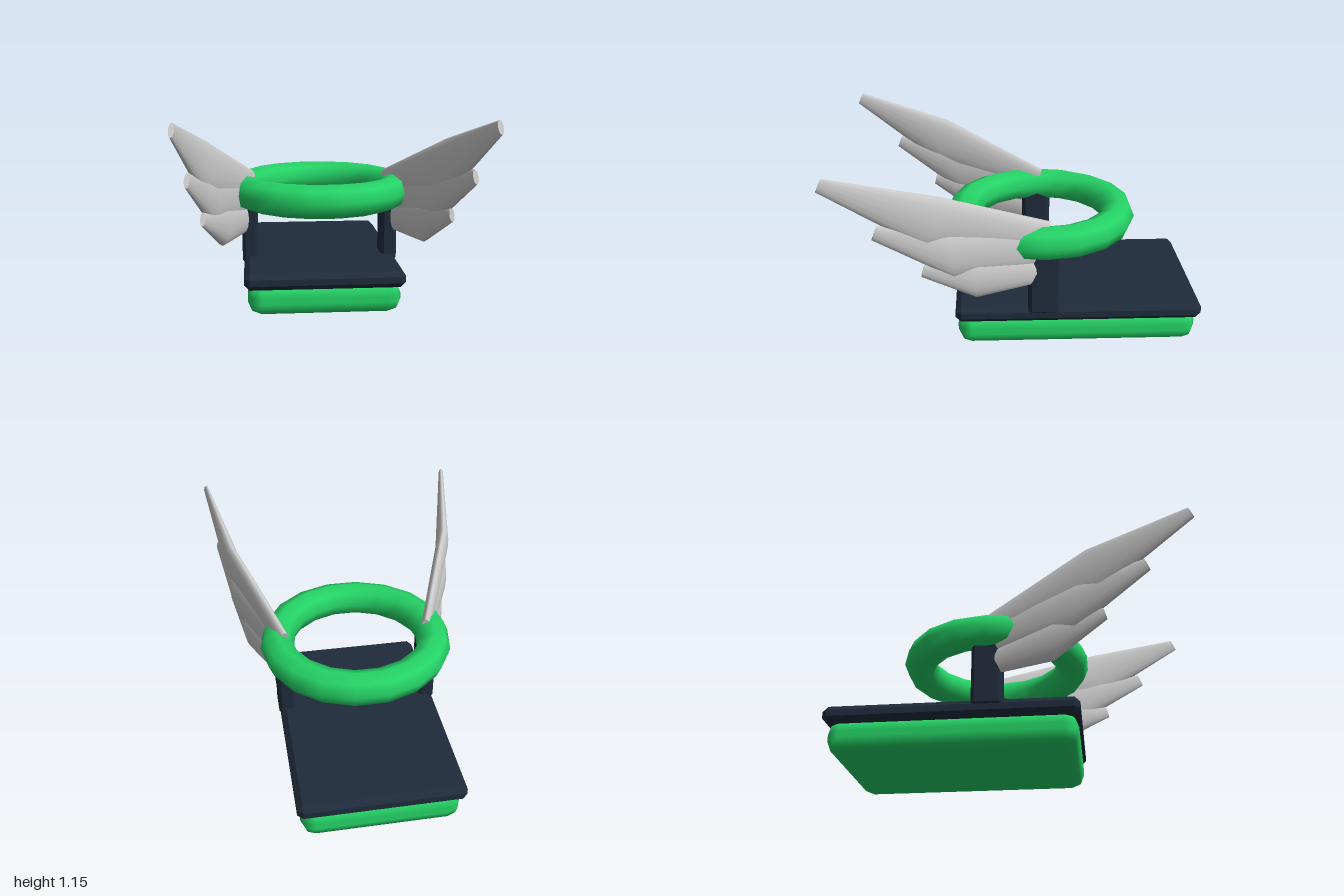
import * as THREE from 'three';
import { RoundedBoxGeometry } from 'three/addons/geometries/RoundedBoxGeometry.js';
import { ConvexGeometry } from 'three/addons/geometries/ConvexGeometry.js';

const material = (name, color) => Object.assign(new THREE.MeshStandardMaterial({ color }), { name });

// Box with a single flat chamfer on every edge
function chamferBox(w, h, d, c) {
  const points = [];
  for (const x of [-1, 1]) for (const y of [-1, 1]) for (const z of [-1, 1]) {
    const [a, b, e] = [w / 2, h / 2, d / 2];
    points.push(
      new THREE.Vector3(x * a, y * (b - c), z * (e - c)),
      new THREE.Vector3(x * (a - c), y * b, z * (e - c)),
      new THREE.Vector3(x * (a - c), y * (b - c), z * e));
  }
  return new ConvexGeometry(points);
}

// Outward sweep of the wing: x as a function of z
const sweep = [[-0.16, 0.395], [-0.04, 0.445], [0.25, 0.565], [0.43, 0.64], [0.52, 0.655], [0.745, 0.715], [1, 0.762]];
function sweepX(z) {
  let i = 0;
  while (i < sweep.length - 2 && z > sweep[i + 1][0]) i++;
  const [[z0, x0], [z1, x1]] = [sweep[i], sweep[i + 1]];
  return x0 + (x1 - x0) * (z - z0) / (z1 - z0);
}

// Feather lofted through flat ellipses; station = [topZ, topY, bottomZ, bottomY, halfThickness]
function featherGeometry(stations, side) {
  const n = 16, positions = [], index = [];
  const tri = (a, b, c) => (side > 0 ? index.push(a, b, c) : index.push(a, c, b));
  const addRing = ([tz, ty, bz, by, t]) => {
    const start = positions.length / 3;
    for (let i = 0; i < n; i++) {
      const a = (i / n) * Math.PI * 2, k = Math.cos(a) / 2;
      const z = (tz + bz) / 2 + k * (tz - bz);
      const y = (ty + by) / 2 + k * (ty - by);
      positions.push(side * (sweepX(z) + Math.sin(a) * t), y, z);
    }
    return start;
  };
  const rings = stations.map(addRing);
  for (let s = 0; s < rings.length - 1; s++) for (let i = 0; i < n; i++) {
    const j = (i + 1) % n, [p, q] = [rings[s], rings[s + 1]];
    tri(p + i, q + i, p + j);
    tri(q + i, q + j, p + j);
  }
  // End caps with their own vertices, so the rims stay sharp
  const root = addRing(stations[0]), tip = addRing(stations[stations.length - 1]);
  for (let i = 1; i < n - 1; i++) {
    tri(root, root + i, root + i + 1);
    tri(tip, tip + i + 1, tip + i);
  }
  const g = new THREE.BufferGeometry();
  g.setAttribute('position', new THREE.Float32BufferAttribute(positions, 3));
  g.setIndex(index);
  g.computeVertexNormals();
  return g;
}

const feathers = {
  upperFeather: [[-0.15, 0.75, -0.11, 0.6, 0.03], [0.43, 1.0, 0.5, 0.72, 0.04], [0.97, 1.147, 1.0, 1.08, 0.014]],
  middleFeather: [[-0.13, 0.71, -0.11, 0.5, 0.03], [0.38, 0.81, 0.36, 0.53, 0.045], [0.73, 0.878, 0.76, 0.805, 0.014]],
  lowerFeather: [[-0.11, 0.54, -0.04, 0.395, 0.028], [0.25, 0.63, 0.25, 0.39, 0.045], [0.51, 0.635, 0.53, 0.565, 0.014]],
};

export function createModel() {
  const green = material('green', 0x25d366);
  const navy = material('navy', 0x1f2b3b);
  const silver = material('silver', 0xcccccc);
  const model = new THREE.Group();
  const add = (parent, name, geometry, mat, x = 0, y = 0, z = 0) => {
    const mesh = new THREE.Mesh(geometry, mat);
    mesh.name = name;
    mesh.position.set(x, y, z);
    parent.add(mesh);
    return mesh;
  };

  // Soft green base under a chamfered dark plate
  add(model, 'base', new RoundedBoxGeometry(0.86, 0.18, 1.342, 1, 0.075), green, 0, 0.09, -0.31);
  add(model, 'plate', chamferBox(0.9, 0.095, 1.373, 0.03), navy, 0, 0.203, -0.3135);

  // Ring lying flat above the plate
  const ring = add(model, 'ring', new THREE.TorusGeometry(0.444, 0.095, 8, 18), green, 0, 0.642, -0.12);
  ring.rotation.x = -Math.PI / 2;

  // Posts and wings on both sides
  for (const [label, side] of [['left', 1], ['right', -1]]) {
    add(model, label + 'Post', chamferBox(0.093, 0.44, 0.17, 0.018), navy, side * 0.412, 0.43, -0.115);
    const wing = new THREE.Group();
    wing.name = label + 'Wing';
    for (const [name, stations] of Object.entries(feathers)) {
      add(wing, name, featherGeometry(stations, side), silver);
    }
    model.add(wing);
  }
  return model;
}
